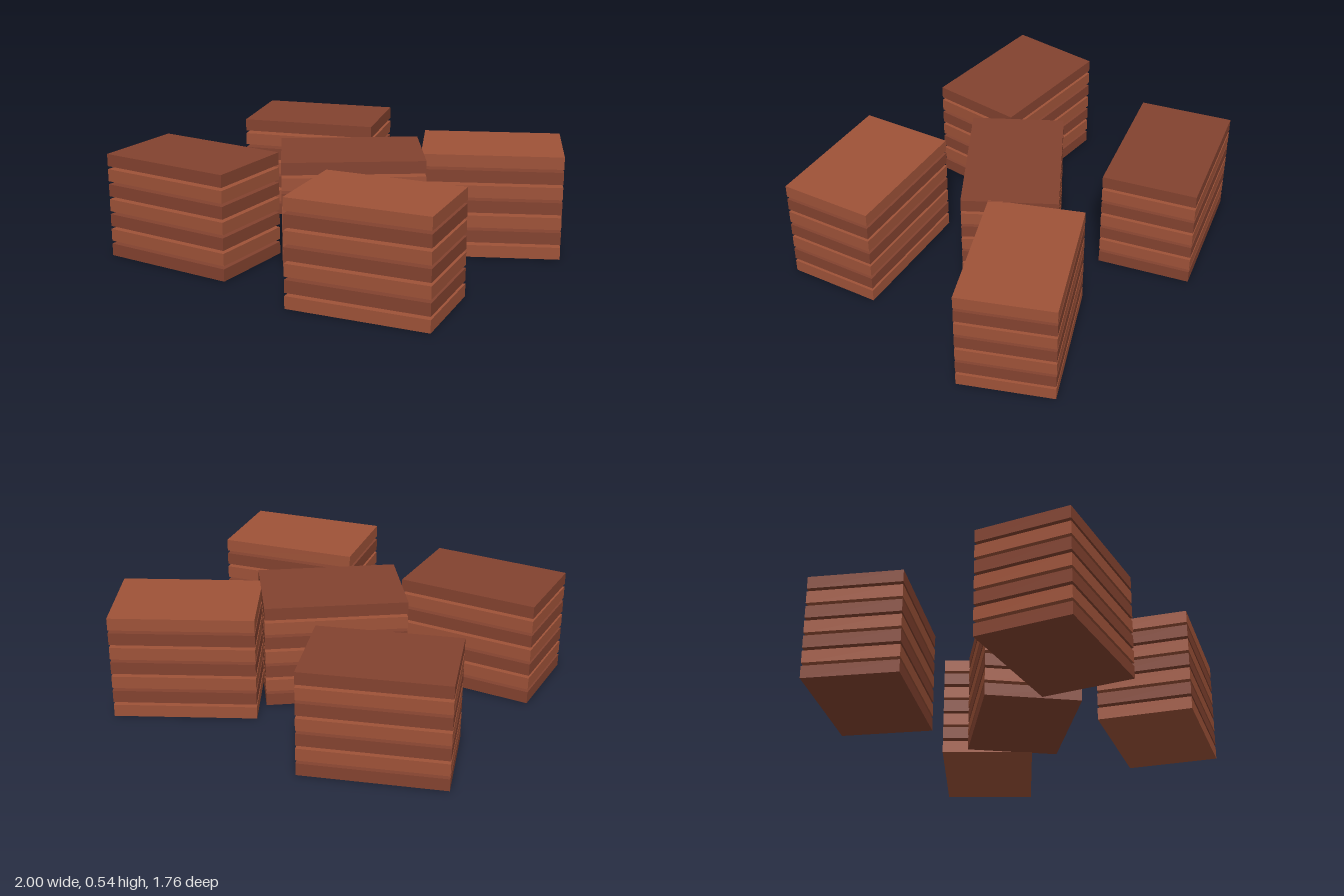
import * as THREE from 'three';

const LAYERS = 7, PITCH = 0.08, THICK = 0.064;
const WIDTH = 0.72, DEPTH = 0.48;

// name, centre x, centre z, turn about y, tone of the bottom slab
const STACKS = [
  ['frontRightStack', -0.64, 0.505, 0, 0],
  ['backRightStack', -0.56, -0.545, 0.302, 0],
  ['centreStack', 0.005, 0.02, 0.602, 0],
  ['backLeftStack', 0.567, -0.463, 0.454, 1],
  ['frontLeftStack', 0.487, 0.584, 0.147, 1],
];

export function createModel() {
  const model = new THREE.Group();
  model.name = 'slabStacks';
  const slab = new THREE.BoxGeometry(WIDTH, THICK, DEPTH);
  const tones = [0x83422f, 0x9e5238].map(
    (color) => new THREE.MeshStandardMaterial({ color }));

  for (const [name, x, z, turn, tone] of STACKS) {
    const stack = new THREE.Group();
    stack.name = name;
    stack.position.set(x, 0, z);
    stack.rotation.y = turn;
    // Slabs with open gaps between them, alternating in tone
    for (let i = 0; i < LAYERS; i++) {
      const mesh = new THREE.Mesh(slab, tones[(i + tone) % 2]);
      mesh.name = 'slab';
      mesh.position.y = THICK / 2 + i * PITCH;
      stack.add(mesh);
    }
    model.add(stack);
  }
  return model;
}
